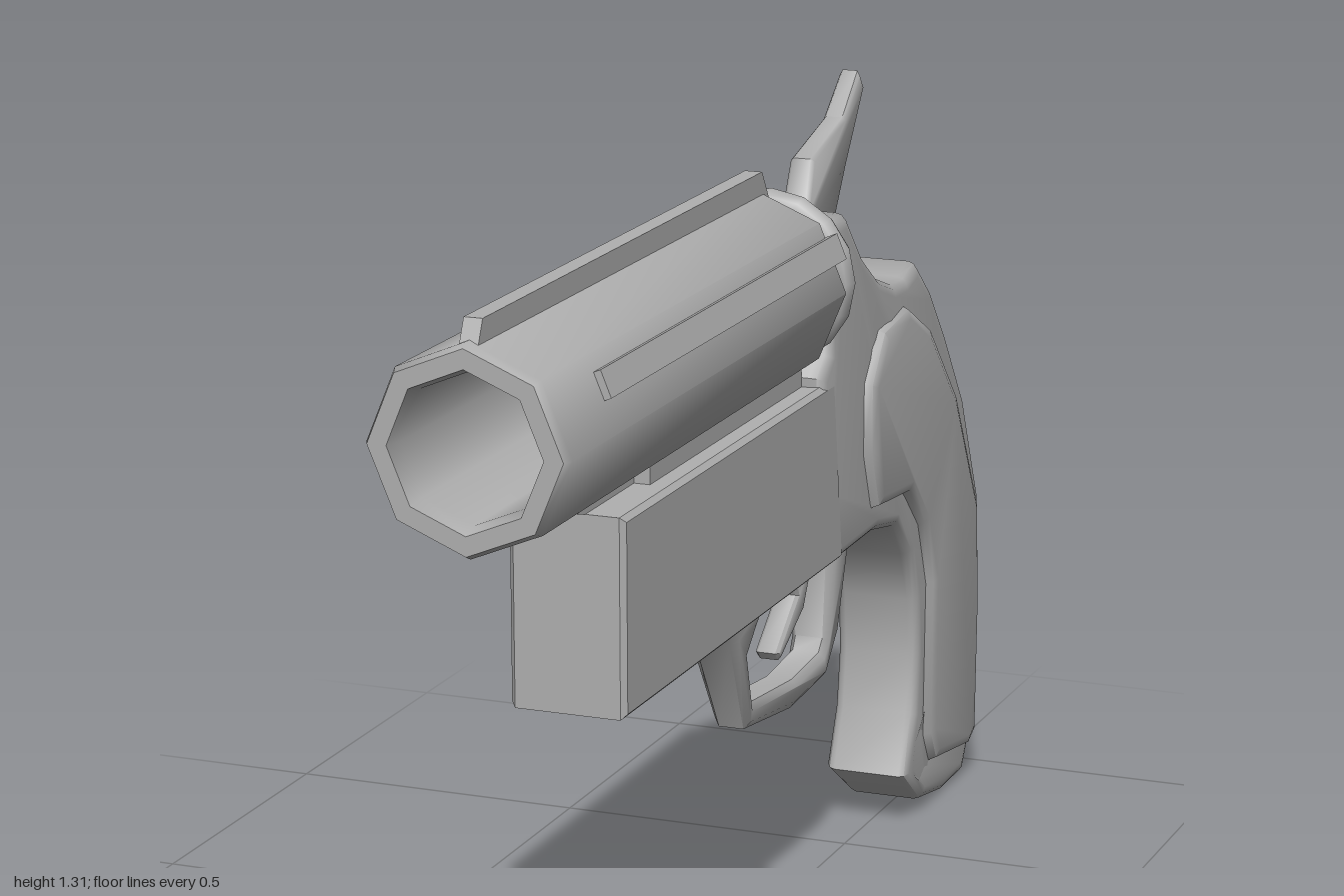
import * as THREE from 'three';
import { toCreasedNormals } from 'three/addons/utils/BufferGeometryUtils.js';

const metal = new THREE.MeshStandardMaterial({ color: 0xb0b0b0 });
metal.name = 'grey metal';

export function createModel() {
  const group = new THREE.Group();

  function add(name, geometry, crease = 0.9) {
    const mesh = new THREE.Mesh(toCreasedNormals(geometry, crease), metal);
    mesh.name = name;
    group.add(mesh);
    return mesh;
  }

  // Extrudes a [z, y] side profile across x; width(z, y) may vary the half width
  function profile(name, points, half, bevel, { width, hole, segments = 1, crease } = {}) {
    const shape = new THREE.Shape(points.map(([z, y]) => new THREE.Vector2(z, y)));
    if (hole) {
      const path = new THREE.Path();
      path.absarc(hole[0], hole[1], hole[2], 0, Math.PI * 2, true);
      shape.holes.push(path);
    }
    const depth = 2 * (half - bevel);
    const geometry = new THREE.ExtrudeGeometry(shape, {
      depth, curveSegments: 4, bevelEnabled: bevel > 0, bevelThickness: bevel,
      bevelSize: bevel, bevelOffset: -bevel, bevelSegments: segments,
    });
    geometry.translate(0, 0, -depth / 2).rotateY(-Math.PI / 2);
    if (width) {
      const p = geometry.attributes.position;
      for (let i = 0; i < p.count; i++) {
        p.setX(i, p.getX(i) * width(p.getZ(i), p.getY(i)) / half);
      }
    }
    return add(name, geometry, crease);
  }

  function box(name, w, h, d, x, y, z, roll = 0) {
    const mesh = add(name, new THREE.BoxGeometry(w, h, d), 0.1);
    mesh.position.set(x, y, z);
    mesh.rotation.z = roll;
  }

  const ramp = (v, a, b, from, to) =>
    THREE.MathUtils.lerp(from, to, THREE.MathUtils.clamp((v - a) / (b - a), 0, 1));

  // Octagonal barrel with an open bore
  const axisY = 1.055;
  const barrelProfile = [
    [0, -0.12], [0.125, -0.12], [0.15, -0.08], [0.152, 0.985], [0.145, 1],
    [0.116, 1], [0.108, 0.97], [0.105, 0.1], [0, 0.1],
  ].map(([r, z]) => new THREE.Vector2(r, z));
  add('barrel', new THREE.LatheGeometry(barrelProfile, 8).rotateX(Math.PI / 2))
    .position.y = axisY;

  // Raised ribs on top and along both flanks
  profile('topRib', [[0.99, 1.18], [0.965, 1.235], [-0.075, 1.235], [-0.11, 1.18]], 0.014, 0);
  for (const side of [-1, 1]) {
    box('sideRib', 0.02, 0.042, 0.93, side * 0.126, 1.12, 0.365, side * 0.39);
  }

  // Breech collar and neck
  add('breechCollar', new THREE.TorusGeometry(0.111, 0.028, 8, 16))
    .position.set(0, axisY, -0.152);
  add('breechNeck', new THREE.CylinderGeometry(0.1, 0.1, 0.14, 16).rotateX(Math.PI / 2))
    .position.set(0, axisY, -0.15);

  // Fore-end block, its rail and the front latch
  profile('foreEnd', [
    [0.66, 0.585], [0.66, 0.885], [-0.2, 0.885], [-0.24, 0.585],
  ], 0.09, 0.008, { crease: 0.3 });
  box('barrelRail', 0.11, 0.06, 0.62, 0, 0.905, 0.17);
  profile('frontLatch', [
    [0.73, 0.91], [0.68, 0.89], [0.62, 0.875], [0.46, 0.88], [0.44, 0.92],
  ], 0.03, 0);

  // Receiver and curved grip frame, narrowing towards the heel
  profile('gripFrame', [
    [-0.175, 1.14], [-0.255, 1.14], [-0.33, 1.06], [-0.41, 1.005], [-0.5, 0.975],
    [-0.57, 0.97], [-0.635, 0.982], [-0.72, 0.92], [-0.81, 0.82], [-0.905, 0.69],
    [-0.99, 0.5], [-0.998, 0.42], [-0.985, 0.25], [-0.97, 0.08], [-0.925, 0.01],
    [-0.82, 0.008], [-0.7, 0.03], [-0.603, 0.1], [-0.64, 0.2], [-0.652, 0.3],
    [-0.645, 0.4], [-0.605, 0.49], [-0.52, 0.56], [-0.4, 0.585], [-0.21, 0.582],
    [-0.155, 0.7], [-0.14, 0.9], [-0.175, 0.93],
  ], 0.088, 0.022, {
    segments: 3, hole: [-0.675, 0.12, 0.02],
    width: (z) => ramp(z, -0.4, -0.75, 0.09, 0.066),
  });

  // Grip panels standing proud on both sides
  profile('gripPanels', [
    [-0.34, 0.845], [-0.405, 0.92], [-0.54, 0.93], [-0.67, 0.865], [-0.82, 0.715],
    [-0.94, 0.495], [-0.95, 0.31], [-0.942, 0.085], [-0.905, 0.067], [-0.725, 0.094],
    [-0.692, 0.15], [-0.695, 0.415], [-0.64, 0.533], [-0.555, 0.61], [-0.38, 0.63],
    [-0.34, 0.727],
  ], 0.105, 0.02, {
    segments: 2, width: (z) => ramp(z, -0.36, -0.75, 0.105, 0.085),
  });

  // Hammer
  profile('hammer', [
    [-0.22, 1.1], [-0.255, 1.14], [-0.285, 1.215], [-0.43, 1.255], [-0.503, 1.318],
    [-0.525, 1.288], [-0.43, 1.175], [-0.34, 1.05],
  ], 0.022, 0.006, { width: (z, y) => ramp(y, 1.1, 1.3, 0.024, 0.017) });

  // Trigger guard, narrowing downwards
  profile('triggerGuard', [
    [0.15, 0.59], [0.1, 0.53], [0.02, 0.37], [-0.19, 0.342], [-0.335, 0.352],
    [-0.38, 0.42], [-0.4, 0.59], [-0.32, 0.59], [-0.325, 0.42], [-0.31, 0.4],
    [-0.19, 0.39], [0, 0.408], [0.04, 0.5], [0.01, 0.535], [-0.04, 0.59],
  ], 0.04, 0.012, { width: (z, y) => ramp(y, 0.34, 0.58, 0.027, 0.045) });

  // Trigger
  profile('trigger', [
    [-0.12, 0.59], [-0.195, 0.572], [-0.222, 0.52], [-0.132, 0.448], [-0.145, 0.434],
    [-0.25, 0.49], [-0.305, 0.59],
  ], 0.02, 0.005);

  return group;
}
